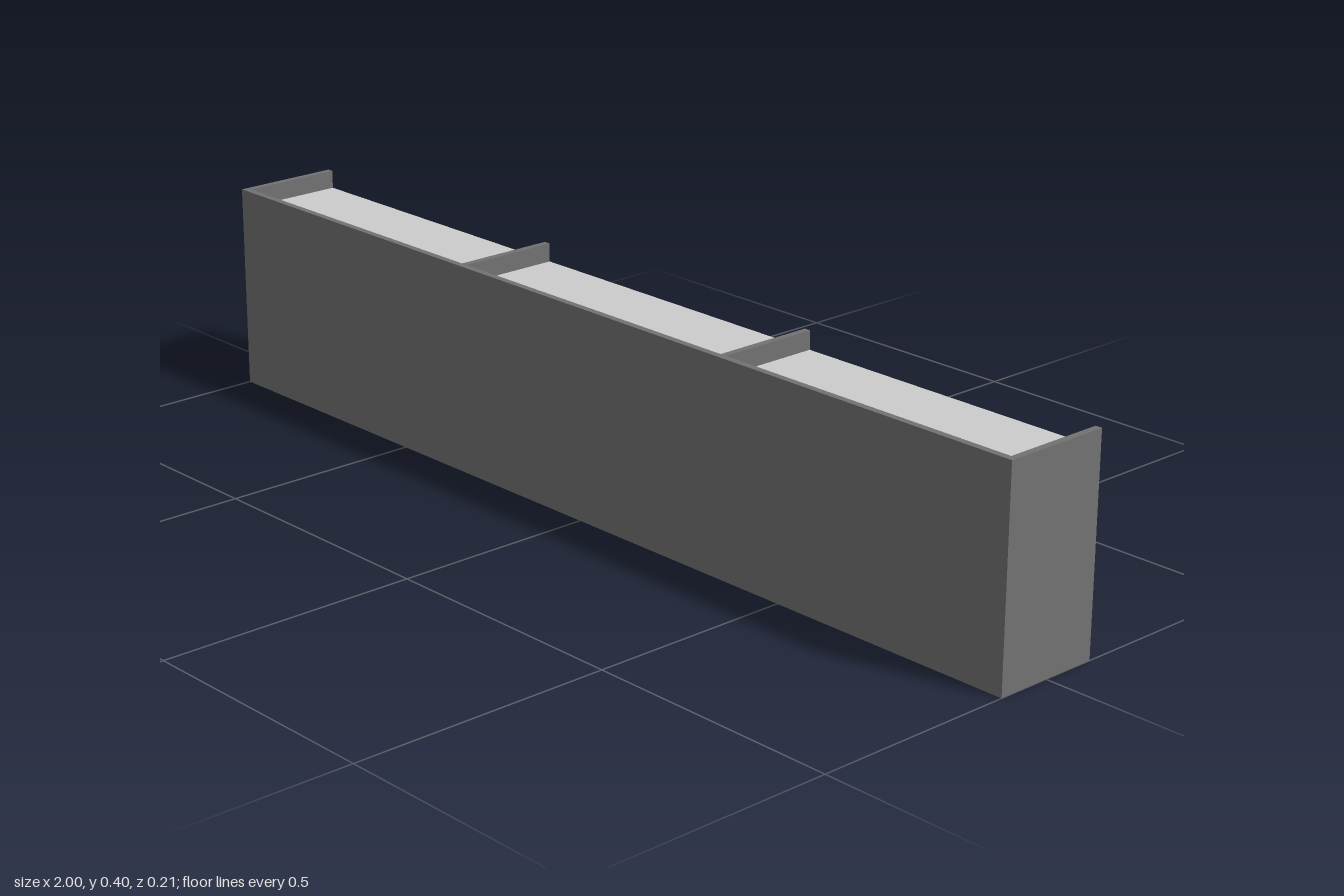
import * as THREE from 'three';

const W = 2, H = 0.4, D = 0.212, T = 0.013;

export function createModel() {
  const group = new THREE.Group();
  group.name = 'shelfUnit';
  const paint = (color) => new THREE.MeshStandardMaterial({ color, flatShading: true });
  const dark = paint(0x727272), mid = paint(0xa8a8a8), light = paint(0xcccccc);

  // Box given by its minimum and maximum corners
  function board(name, material, [x0, y0, z0], [x1, y1, z1]) {
    const mesh = new THREE.Mesh(new THREE.BoxGeometry(x1 - x0, y1 - y0, z1 - z0), material);
    mesh.position.set((x0 + x1) / 2, (y0 + y1) / 2, (z0 + z1) / 2);
    mesh.name = name;
    group.add(mesh);
  }

  const back = -D / 2, inner = D / 2 - T;

  // Closed dark front panel across the full width
  board('frontPanel', dark, [-W / 2, 0, inner], [W / 2, H, D / 2]);

  // Dark sides and the two dividers
  const uprights = [-W / 2 + T / 2, -0.33, 0.35, W / 2 - T / 2];
  const names = ['rightSide', 'rightDivider', 'leftDivider', 'leftSide'];
  uprights.forEach((x, i) =>
    board(names[i], dark, [x - T / 2, 0, back], [x + T / 2, H, inner]));

  // Light shelves and a kick board in each bay, open toward the back
  const shelfTops = [0.03, 0.142, 0.253, 0.365];
  for (let i = 0; i < 3; i++) {
    const x0 = uprights[i] + T / 2, x1 = uprights[i + 1] - T / 2;
    for (const y of shelfTops) board('shelf', light, [x0, y - T, back], [x1, y, inner]);
    board('kickBoard', mid, [x0, 0, back], [x1, shelfTops[0] - T, back + T]);
  }
  return group;
}
